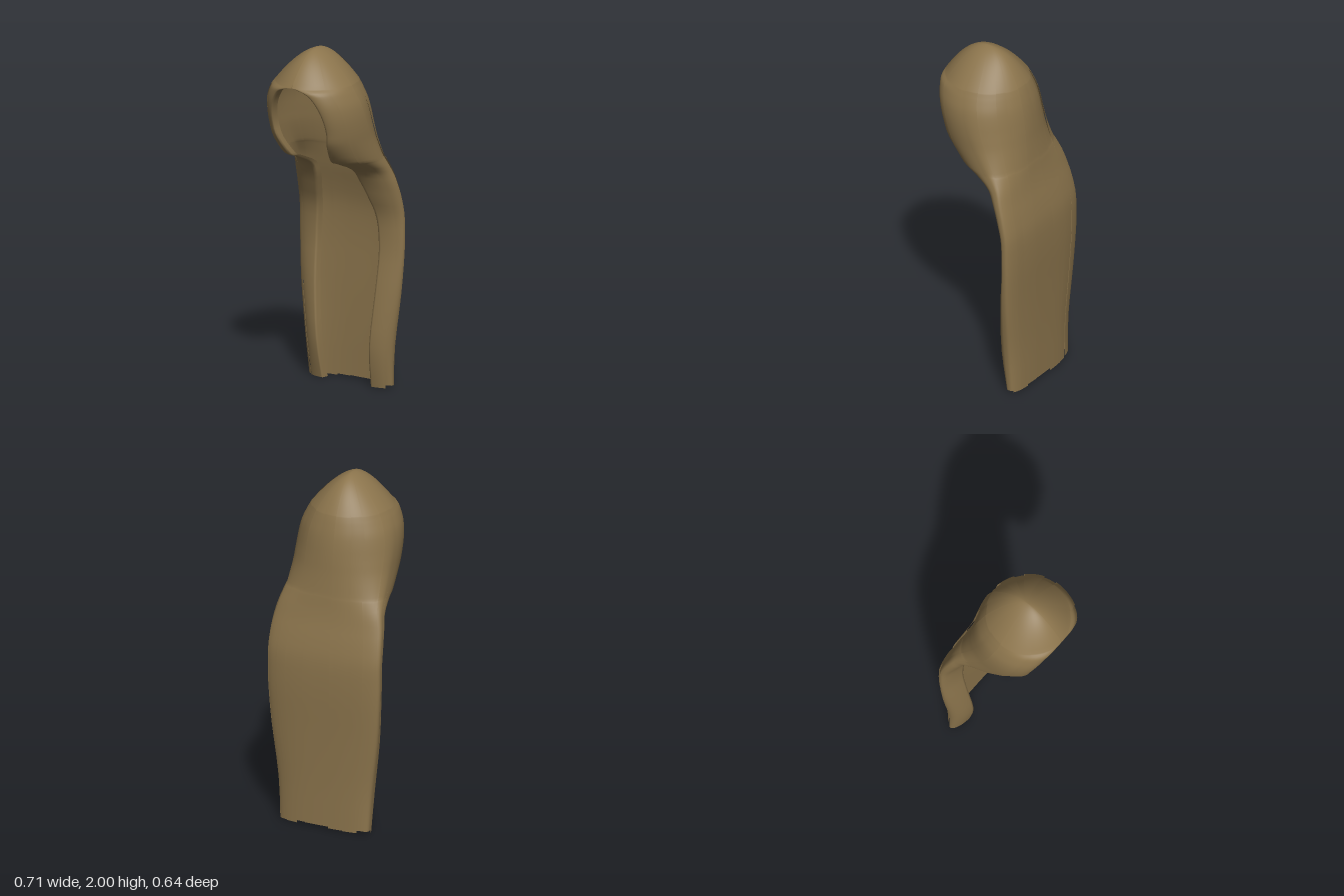
import * as THREE from 'three';

// Stations from hem to brow: y, half width, back z, widest z, front edge z, front edge x
const STATIONS = [
  [0.015, 0.275, -0.30, -0.25, -0.205, 0.165],
  [0.25, 0.29, -0.30, -0.24, -0.167, 0.178],
  [0.55, 0.328, -0.306, -0.25, -0.187, 0.203],
  [0.80, 0.345, -0.314, -0.26, -0.215, 0.212],
  [0.98, 0.347, -0.31, -0.26, -0.207, 0.20],
  [1.10, 0.343, -0.29, -0.24, -0.165, 0.175],
  [1.20, 0.333, -0.266, -0.21, -0.12, 0.15],
  [1.28, 0.317, -0.25, -0.18, -0.06, 0.14],
  [1.345, 0.303, -0.24, -0.13, 0.08, 0.135],
  [1.375, 0.299, -0.235, -0.10, 0.145, 0.138],
  [1.48, 0.292, -0.222, -0.03, 0.22, 0.165],
  [1.56, 0.291, -0.214, 0.01, 0.243, 0.178],
  [1.64, 0.286, -0.204, 0.04, 0.268, 0.172],
  [1.71, 0.273, -0.191, 0.06, 0.29, 0.15],
  [1.765, 0.252, -0.176, 0.075, 0.307, 0.115],
  [1.795, 0.237, -0.166, 0.08, 0.318, 0.075],
  [1.815, 0.226, -0.158, 0.08, 0.323, 0],
];
const LAST = STATIONS.length - 1;
const BODY_ROWS = LAST * 3, CROWN_ROWS = 16;

// Smooth blend between neighbouring stations, kept within their range
function station(t) {
  const i = Math.min(Math.floor(t), LAST - 1), f = t - i;
  const [a, b, c, d] = [i - 1, i, i + 1, i + 2].map(
    (k) => STATIONS[Math.max(0, Math.min(LAST, k))]);
  return b.map((p, k) => {
    const q = c[k], m0 = (q - a[k]) / 2, m1 = (d[k] - p) / 2;
    const v = p + f * (m0 + f * (3 * (q - p) - 2 * m0 - m1 + f * (2 * (p - q) + m0 + m1)));
    return Math.max(Math.min(p, q), Math.min(Math.max(p, q), v));
  });
}

// Above the brow the last section tapers to the crown, continuing the slope below it
function crown(f) {
  const [y, w, back, mid, front] = STATIONS[LAST];
  const h = Math.max(0.0001, (1 - f) ** 2);
  return [2 - (2 - y) * h, w * h ** 0.65, mid + (back - mid) * h ** 0.45, mid,
    mid + (front - mid) * h ** 0.5, 0];
}

// Point on the open section: u = 0 at the back, +-1 inside the front edges
function point(u, row, lift, hem) {
  const [y, w, back, mid, front, edge] =
    row <= BODY_ROWS ? station(row / 3) : crown((row - BODY_ROWS) / CROWN_ROWS);
  const s = Math.abs(u);
  const d = lift * Math.min(1, (2 - y) / 0.3);
  const xo = w + d;
  const square = Math.min(1, 0.75 + Math.max(0, y - 1) * 0.42);
  let x, z;
  if (s <= 0.5) {
    const a = s * Math.PI;
    x = xo * Math.pow(Math.sin(a), square);
    z = mid + (back - d - mid) * Math.pow(Math.max(0, Math.cos(a)), square);
  } else {
    const a = Math.min(1, (s - 0.5) / 0.42) * Math.PI / 2;
    x = edge + (xo - edge) * Math.pow(Math.max(0, Math.cos(a)), 1.1);
    z = mid + (front - mid) * Math.sin(a);
    // Edge curls back into the opening
    const curl = Math.max(0, (s - 0.92) / 0.08) * Math.min(1, edge / 0.12);
    x -= 0.008 * curl;
    z -= 0.04 * curl;
  }
  return [x * Math.sign(u), y + hem * Math.max(0, 1 - y / 0.4), z];
}

// One lock: a strip of the surface running from hem to crown
function lockGeometry(u0, u1, lift, hem) {
  const cols = Math.max(4, Math.ceil((u1 - u0) * 36));
  const rows = BODY_ROWS + CROWN_ROWS;
  const pos = [], index = [];
  for (let j = 0; j <= rows; j++) {
    for (let i = 0; i <= cols; i++) {
      pos.push(...point(u0 + (u1 - u0) * i / cols, j, lift, hem));
      if (i < cols && j < rows) {
        const a = j * (cols + 1) + i, b = a + cols + 1;
        index.push(a, b, a + 1, a + 1, b, b + 1);
      }
    }
  }
  const geo = new THREE.BufferGeometry();
  geo.setAttribute('position', new THREE.Float32BufferAttribute(pos, 3));
  geo.setIndex(index);
  geo.computeVertexNormals();
  return geo;
}

export function createModel() {
  const group = new THREE.Group();
  group.name = 'longHair';
  const hair = new THREE.MeshStandardMaterial({ color: 0x8b744c, side: THREE.DoubleSide });
  hair.name = 'brown hair';

  // Overlapping locks, alternately raised, with an uneven hem
  const bounds = [-1, -0.68, -0.5, -0.36, -0.24, -0.13, -0.04, 0.08, 0.17, 0.27, 0.38, 0.5, 0.68, 1];
  for (let i = 0; i < bounds.length - 1; i++) {
    const u0 = Math.max(-1, bounds[i] - 0.012), u1 = Math.min(1, bounds[i + 1] + 0.012);
    const lock = new THREE.Mesh(
      lockGeometry(u0, u1, i % 2 ? 0.008 : 0, ((i * 5) % 4) * 0.006 - 0.015), hair);
    lock.name = i === 0 ? 'rightFrontLock' : i === bounds.length - 2 ? 'leftFrontLock' : 'backLock' + i;
    group.add(lock);
  }
  return group;
}
